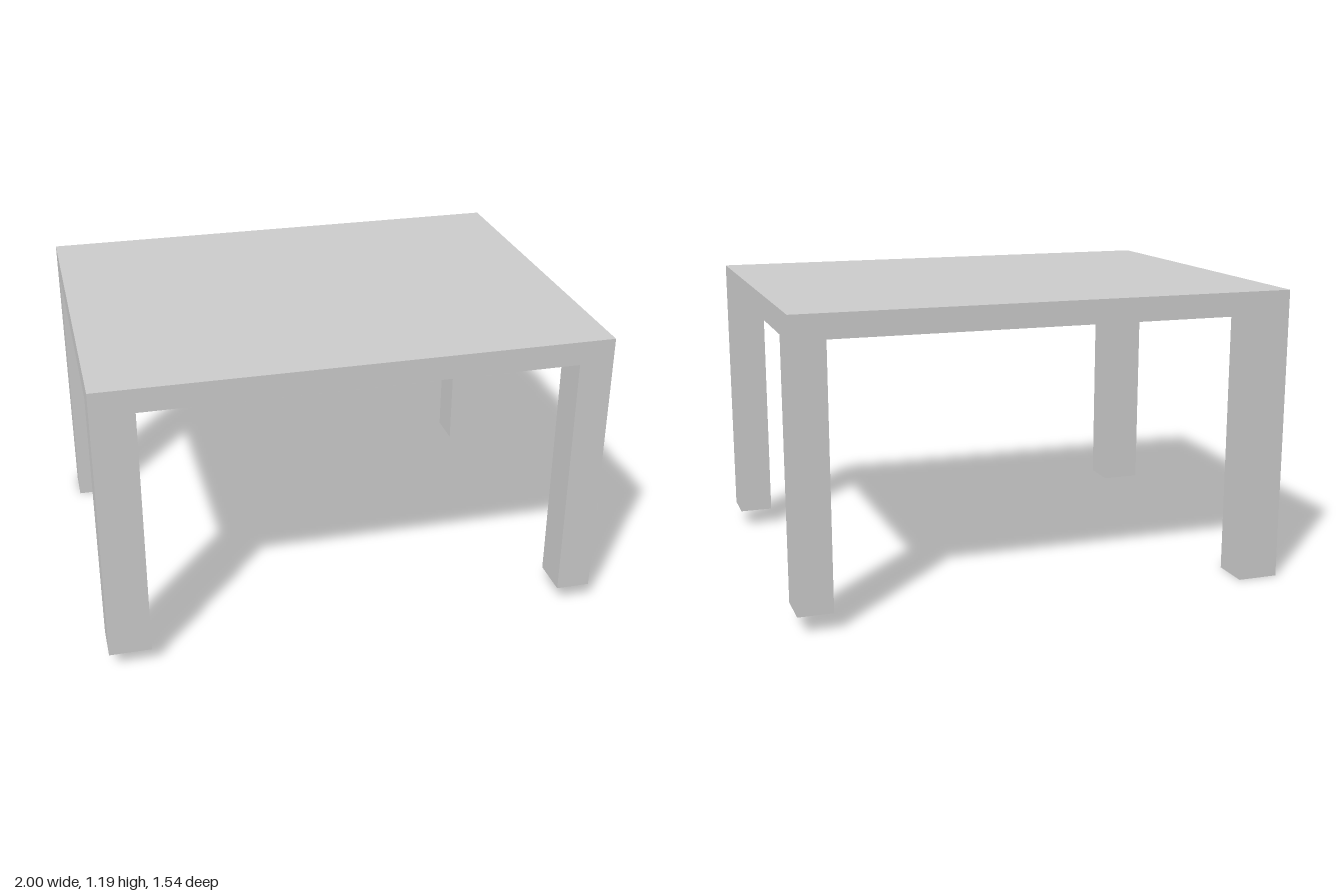
import * as THREE from 'three';

const HALF_X = 1, HALF_Z = 0.768, TOP = 1.193, UNDERSIDE = 1.098;

export function createModel() {
  const table = new THREE.Group();
  table.name = 'table';
  const material = new THREE.MeshStandardMaterial({ color: 0xcccccc, flatShading: true });

  const addBox = (name, [w, h, d], [x, y, z]) => {
    const mesh = new THREE.Mesh(new THREE.BoxGeometry(w, h, d), material);
    mesh.name = name;
    mesh.position.set(x, y, z);
    table.add(mesh);
  };

  // Slab top
  addBox('tableTop', [2 * HALF_X, TOP - UNDERSIDE, 2 * HALF_Z], [0, (TOP + UNDERSIDE) / 2, 0]);

  // Legs flush with the corners, of uneven width and length
  const legs = [
    { name: 'frontLeftLeg', sx: 1, sz: 1, width: 0.138, foot: 0.071 },
    { name: 'backLeftLeg', sx: 1, sz: -1, width: 0.138, foot: 0.071 },
    { name: 'frontRightLeg', sx: -1, sz: 1, width: 0.167, foot: 0.062 },
    { name: 'backRightLeg', sx: -1, sz: -1, width: 0.167, foot: 0 },
  ];
  const depth = 0.161;
  for (const { name, sx, sz, width, foot } of legs) {
    addBox(name, [width, UNDERSIDE - foot, depth],
      [sx * (HALF_X - width / 2), (UNDERSIDE + foot) / 2, sz * (HALF_Z - depth / 2)]);
  }
  return table;
}
